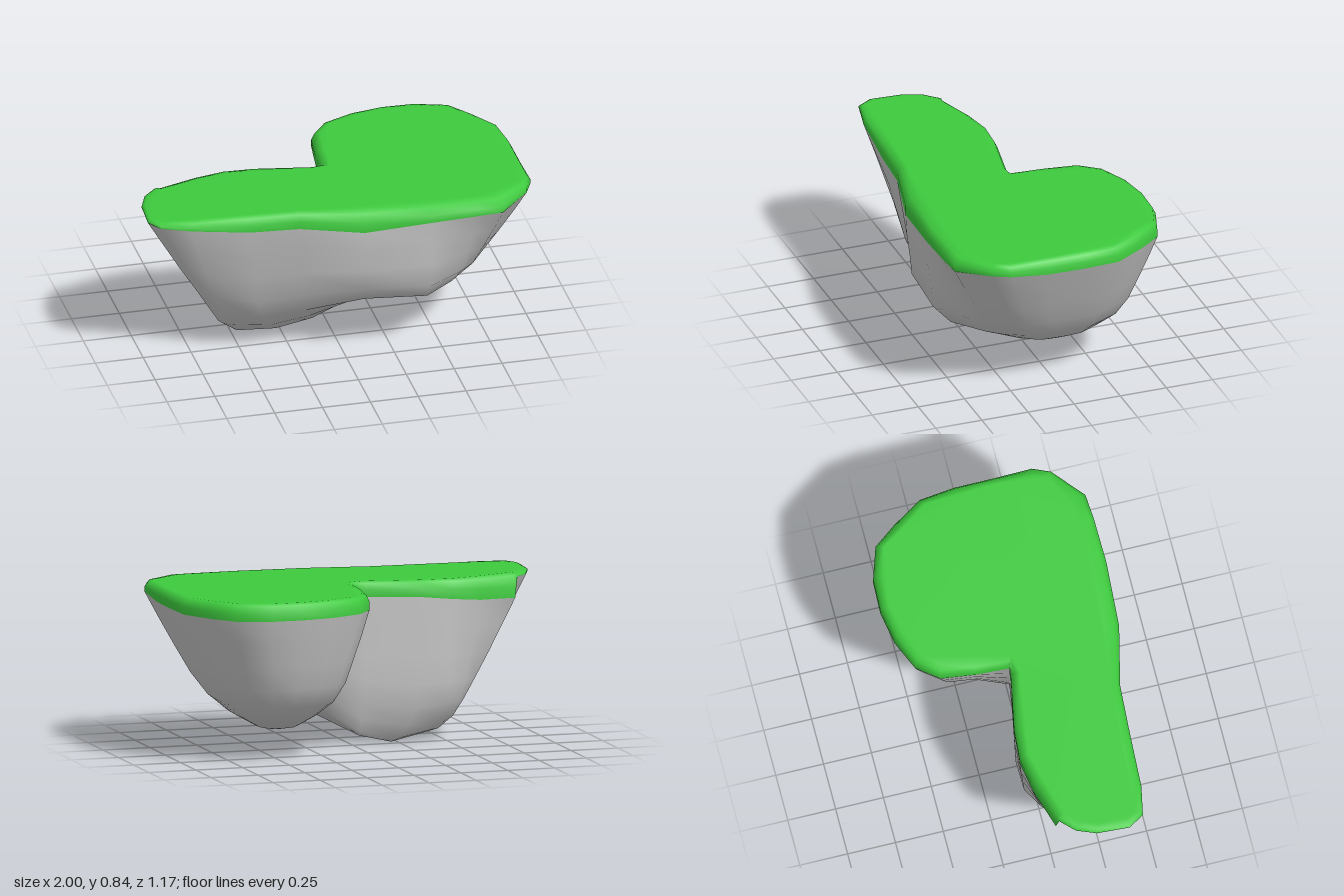
import * as THREE from 'three';
import { mergeVertices } from 'three/addons/utils/BufferGeometryUtils.js';

const { smoothstep, lerp } = THREE.MathUtils;

// Rim of the island seen from above: x, z
const RIM = [
  [0, -0.03], [0.01, -0.2], [0.035, -0.38], [0.12, -0.49], [0.28, -0.56], [0.45, -0.59],
  [0.62, -0.585], [0.79, -0.53], [0.88, -0.41], [0.98, -0.25], [1, -0.07], [1, 0.14],
  [1, 0.34], [0.96, 0.43], [0.8, 0.57], [0.67, 0.58], [0.43, 0.585], [0.08, 0.565],
  [-0.24, 0.49], [-0.5, 0.475], [-0.8, 0.46], [-0.95, 0.43], [-1, 0.35], [-0.99, 0.18],
  [-0.95, 0.08], [-0.88, 0.01], [-0.865, -0.003], [-0.66, -0.07], [-0.5, -0.1],
  [-0.34, -0.09], [-0.05, -0.035],
];

// Lowest ridge under the island
const KEEL = [[-0.43, 0.03, 0.12], [-0.22, 0, 0.05], [-0.05, 0.04, 0.05], [0.2, 0.17, 0.02], [0.45, 0.125, -0.13]];

// Wall profile: depth, inward run of a straight wall, inward run of a bulging wall
const WALL = [
  [0, 0, 0], [0.2, 0.16, 0.07], [0.4, 0.32, 0.15], [0.6, 0.49, 0.23],
  [0.76, 0.62, 0.36], [0.88, 0.72, 0.57], [0.97, 0.87, 0.78], [1, 1, 1],
];

// Keel point that the wall below a rim point runs to
function keelBelow(x, z) {
  const steps = z > 0.4 ? [-0.65, -0.35, 0, 0.3] : [-0.4, -0.2, -0.02, 0.005];
  return KEEL[steps.filter((step) => x > step).length];
}

// Walls bulge most at the front middle and behind the narrow arm, and are straight at the left tip
function bulgeAt(x, z) {
  const front = 0.8 * smoothstep(z, 0.45, 0.58) * (1 - smoothstep(x, 0.4, 0.78));
  const armBack = x < -0.02 && z < 0 ? 0.7 * smoothstep(x, -0.8, -0.4) : 0;
  return 0.9 * smoothstep(x, -1, -0.45) + front + armBack - 0.35 * smoothstep(x, 0.6, 1);
}

// Lower edge of the turf: thin at the left tip, hanging low at the front middle and behind the arm
function turfEdge(x, z) {
  if (x < -0.87) return 0.82;
  if (z > 0.4) {
    const sag = 0.03 * Math.exp(-(((x - 0.1) / 0.25) ** 2));
    return 0.765 - sag + 0.05 * smoothstep(-x, 0.5, 0.95) + 0.025 * smoothstep(x, 0.8, 0.96);
  }
  const armBack = 0.05 * smoothstep(-x, 0.2, 0.85);
  return 0.765 - armBack - 0.01 * smoothstep(-z, 0, 0.4) + 0.025 * smoothstep(z, 0.1, 0.4);
}

// Joins closed rings of points, listed from top to bottom
function loft(rings, cap = []) {
  const n = rings[0].length;
  const index = [...cap];
  for (let j = 0; j < rings.length - 1; j++) {
    for (let i = 0; i < n; i++) {
      const a = j * n + i, b = j * n + (i + 1) % n;
      index.push(a, b, a + n, b, b + n, a + n);
    }
  }
  const geometry = new THREE.BufferGeometry();
  geometry.setAttribute('position', new THREE.Float32BufferAttribute(rings.flat(2), 3));
  geometry.setIndex(index);
  const merged = mergeVertices(geometry, 1e-4);
  merged.computeVertexNormals();
  return merged;
}

// Rim point moved inward, square to the rim
function inset(i, distance) {
  const n = RIM.length;
  const p = RIM[(i + n - 1) % n], q = RIM[(i + 1) % n];
  const dx = q[0] - p[0], dz = q[1] - p[1], length = Math.hypot(dx, dz);
  return [RIM[i][0] - dz / length * distance, RIM[i][1] + dx / length * distance];
}

function rockGeometry() {
  return loft(WALL.map(([depth, straight, bulging]) => RIM.map(([x, z]) => {
    const [kx, ky, kz] = keelBelow(x, z);
    const run = lerp(straight, bulging, bulgeAt(x, z));
    return [lerp(x, kx, run), lerp(turfEdge(x, z), ky, depth), lerp(z, kz, run)];
  })));
}

function turfGeometry() {
  // Rounded lip, wider along the front: inward distance, and height from turf edge (0) to lawn (1)
  const rings = [[0.045, 1], [0.016, 0.9], [0, 0.5], [0, 0]].map(([distance, rise]) =>
    RIM.map(([rx, rz], i) => {
      const [x, z] = inset(i, distance * (1 + 0.7 * smoothstep(rz, 0.45, 0.58)));
      return [x, lerp(turfEdge(rx, rz), 0.84, rise), z];
    }));
  // Flat lawn, every triangle turned to face up
  const flat = rings[0].map(([x, , z]) => new THREE.Vector2(x, -z));
  const cap = THREE.ShapeUtils.triangulateShape(flat, []).flatMap(([a, b, c]) =>
    THREE.ShapeUtils.area([flat[a], flat[b], flat[c]]) > 0 ? [a, b, c] : [a, c, b]);
  return loft(rings, cap);
}

export function createModel() {
  const group = new THREE.Group();
  group.name = 'floatingIsland';
  const add = (name, geometry, color) => {
    const mesh = new THREE.Mesh(geometry, new THREE.MeshStandardMaterial({ color }));
    mesh.name = name;
    group.add(mesh);
  };
  add('rock', rockGeometry(), 0xcccccc);
  add('turf', turfGeometry(), 0x3ecb3e);
  return group;
}
